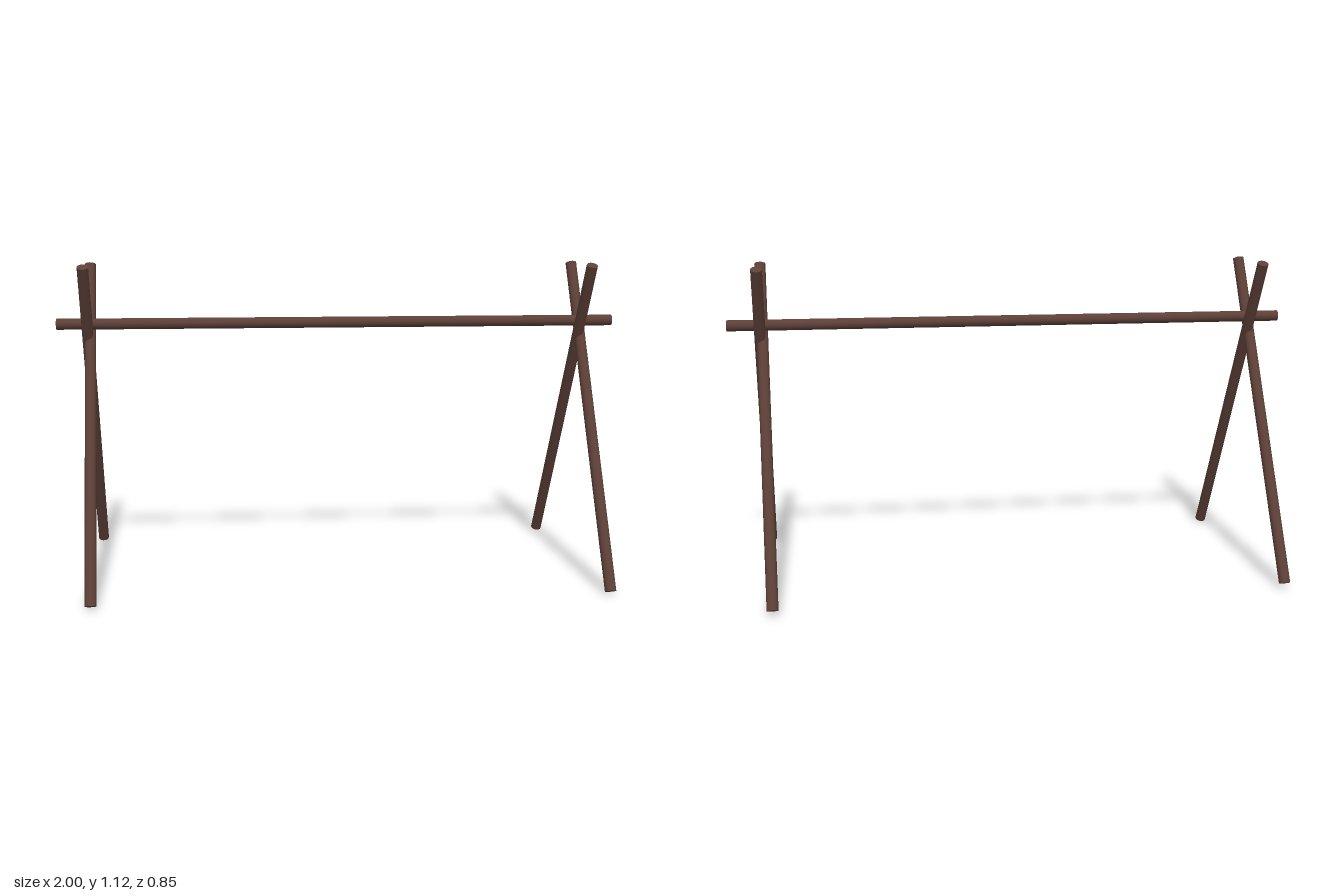
import * as THREE from 'three';

export function createModel() {
  const model = new THREE.Group();
  model.name = 'poleFrame';
  const wood = new THREE.MeshStandardMaterial({ color: 0x5d4037 });
  wood.name = 'dark brown wood';

  // Round pole between two end points
  function pole(name, from, to, radius) {
    const a = new THREE.Vector3(...from);
    const b = new THREE.Vector3(...to);
    const axis = b.clone().sub(a);
    const mesh = new THREE.Mesh(new THREE.CylinderGeometry(radius, radius, axis.length(), 16), wood);
    mesh.name = name;
    mesh.position.copy(a).add(b).multiplyScalar(0.5);
    mesh.quaternion.setFromUnitVectors(new THREE.Vector3(0, 1, 0), axis.normalize());
    return mesh;
  }

  // Crossed leg pair at each end, both leaning the same way
  for (const [name, x] of [['rightLegs', -0.887], ['leftLegs', 0.885]]) {
    const legs = new THREE.Group();
    legs.name = name;
    legs.position.x = x;
    legs.add(
      pole('frontLeg', [0.021, 0.012, 0.408], [-0.004, 1.12, -0.115], 0.0195),
      pole('backLeg', [-0.027, 0.021, -0.406], [0, 1.12, 0.133], 0.0195)
    );
    model.add(legs);
  }

  // Ridge bar resting in the crossings
  model.add(pole('ridgeBar', [-1, 0.916, 0.011], [1, 0.916, 0.011], 0.0195));
  return model;
}
